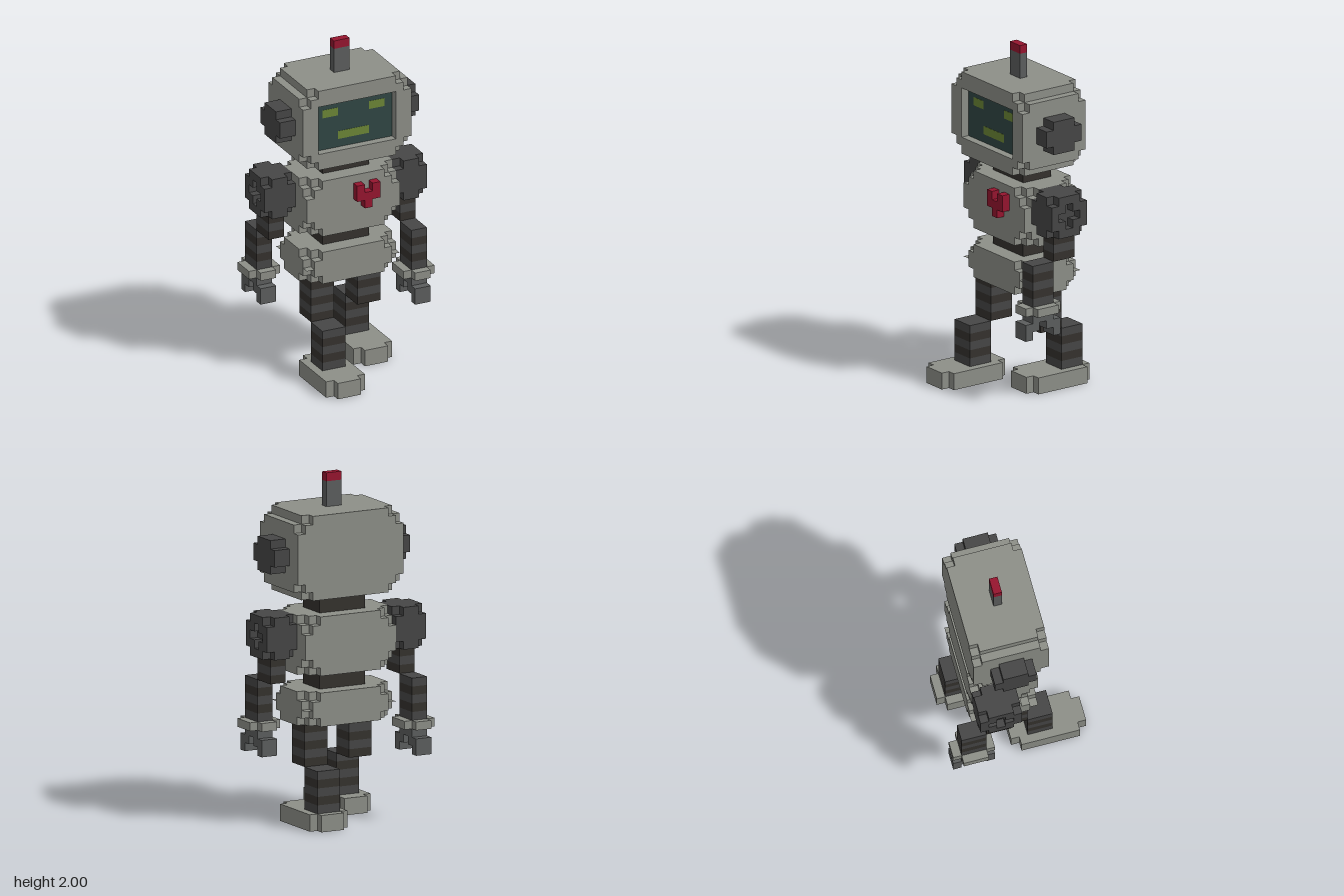
import * as THREE from 'three';
import { mergeGeometries } from 'three/addons/utils/BufferGeometryUtils.js';

// All sizes below are in blocks; the finished robot is 41 blocks tall.
const BLOCK = 2 / 41;

const paint = (color) => new THREE.MeshStandardMaterial({ color, flatShading: true });

// Rectangle outline whose corners are cut by a staircase of the given number of steps
function outline(w, h, steps) {
  const corner = [new THREE.Vector2(w / 2, h / 2 - steps)];
  for (let i = 1; i <= steps; i++) {
    corner.push(new THREE.Vector2(w / 2 - i, h / 2 - steps + i - 1));
    corner.push(new THREE.Vector2(w / 2 - i, h / 2 - steps + i));
  }
  return [[1, 1], [-1, 1], [-1, -1], [1, -1]].flatMap(([sx, sy]) => {
    const pts = corner.map((p) => new THREE.Vector2(p.x * sx, p.y * sy));
    return sx * sy > 0 ? pts : pts.reverse();
  });
}

// Stack of stepped slabs along an axis, centred; each layer is [steps, depth, hole]
function layered(axis, w, h, layers) {
  let z = -layers.reduce((sum, l) => sum + l[1], 0) / 2;
  const slabs = layers.map(([steps, depth, hole]) => {
    const shape = new THREE.Shape(outline(w, h, steps));
    if (hole) shape.holes.push(new THREE.Path(hole));
    const slab = new THREE.ExtrudeGeometry(shape, { depth, bevelEnabled: false });
    slab.translate(0, 0, z);
    z += depth;
    return slab;
  });
  const geometry = mergeGeometries(slabs);
  if (axis === 'x') geometry.rotateY(Math.PI / 2);
  if (axis === 'y') geometry.rotateX(-Math.PI / 2);
  return geometry;
}

export function createModel() {
  const shell = paint(0x8d8f88), dark = paint(0x464646), darker = paint(0x35322e);
  const steel = paint(0x5c5e5e), red = paint(0x96152f);
  const glass = paint(0x304644), glow = paint(0x6c8636);

  const robot = new THREE.Group();
  robot.name = 'robot';
  robot.scale.setScalar(BLOCK);

  const add = (parent, name, geometry, material, x, y, z) => {
    const mesh = new THREE.Mesh(geometry, material);
    mesh.name = name;
    mesh.position.set(x, y, z);
    parent.add(mesh);
  };
  // Box resting on height y
  const box = (parent, name, material, w, h, d, x, y, z) =>
    add(parent, name, new THREE.BoxGeometry(w, h, d), material, x, y + h / 2, z);
  const group = (name) => {
    const g = new THREE.Group();
    g.name = name;
    robot.add(g);
    return g;
  };
  // Column of one-block rings in alternating tones
  const stripes = (parent, name, w, d, x, from, to, z) => {
    for (let y = from; y < to; y++) box(parent, name, y % 2 ? darker : dark, w, 1, d, x, y, z);
  };

  // Head with recessed screen face
  const head = group('head');
  add(head, 'headShell', layered('z', 14, 10,
    [[2, 1], [1, 7], [2, 1, outline(10, 6, 0)]]), shell, 0, 32, -1);
  box(head, 'screen', glass, 10, 6, 0.04, 0, 29, 2.5);
  for (const s of [-1, 1]) {
    box(head, 'eye', glow, 2, 1, 0.04, s * 3, 33, 2.53);
    add(head, 'ear', layered('x', 5, 4, [[1, 2]]), dark, s * 8, 32, -1);
  }
  box(head, 'mouth', glow, 4, 1, 0.04, 0, 30, 2.53);
  box(head, 'antenna', steel, 2, 3, 1, 0, 37, -1);
  box(head, 'antennaTip', red, 2, 1, 1, 0, 40, -1);

  // Body
  const body = group('body');
  const rounded = [[2, 1], [1, 1], [0, 4], [1, 1], [2, 1]];
  box(body, 'neck', darker, 6, 2, 4, 0, 25, -1.5);
  add(body, 'torso', layered('z', 12, 7, rounded), shell, 0, 21.5, -1.5);
  box(body, 'waist', darker, 6, 2, 4, 0, 16, -1.5);
  add(body, 'pelvis', layered('z', 12, 4, rounded), shell, 0, 14, -1.5);

  // Heart on the chest
  for (const x of [0.5, 2.5]) box(body, 'heartLobe', red, 1, 2, 1, x, 22, 3);
  box(body, 'heartPoint', red, 1, 2, 1, 1.5, 21, 3);

  // Arms and legs in mid-stride, each limb bent at the joint
  const strides = [
    { side: 1, upperArm: -1, forearm: 2, thigh: -2, shin: -5, foot: -3 },
    { side: -1, upperArm: -3, forearm: -6, thigh: 0, shin: 3, foot: 4 },
  ];
  for (const { side, upperArm, forearm, thigh, shin, foot } of strides) {
    const label = side > 0 ? 'left' : 'right';
    const x = side * 8;

    // Shoulder with a plus-shaped socket on its outer face
    const arm = group(label + 'Arm');
    const layers = [[1, 1], [0, 2], [1, 1, outline(3, 3, 1)]];
    if (side < 0) layers.reverse();
    add(arm, 'shoulder', layered('x', 5, 5, layers), dark, x, 22.5, upperArm);
    stripes(arm, 'upperArmRing', 2, 3, x, 17, 20, upperArm);
    stripes(arm, 'forearmRing', 2, 3, x, 12, 17, forearm);
    add(arm, 'cuff', layered('y', 4, 5, [[1, 1]]), shell, x, 11.5, forearm);

    // Claw hand
    box(arm, 'palm', steel, 2, 1, 3, x, 10, forearm);
    for (const s of [-1, 1]) {
      box(arm, 'knuckle', steel, 2, 1, 2, x, 9, forearm + s * 1.5);
      box(arm, 'fingertip', steel, 2, 1, 1, x, 8, forearm + s * 2);
    }

    const leg = group(label + 'Leg');
    stripes(leg, 'thighRing', 3, 3, side * 3.5, 7, 12, thigh);
    stripes(leg, 'shinRing', 3, 3, side * 3.5, 2, 7, shin);
    add(leg, 'foot', layered('y', 5, 9, [[1, 2]]), shell, side * 3.5, 1, foot);
  }

  const model = new THREE.Group();
  model.name = 'model';
  model.add(robot);
  return model;
}
